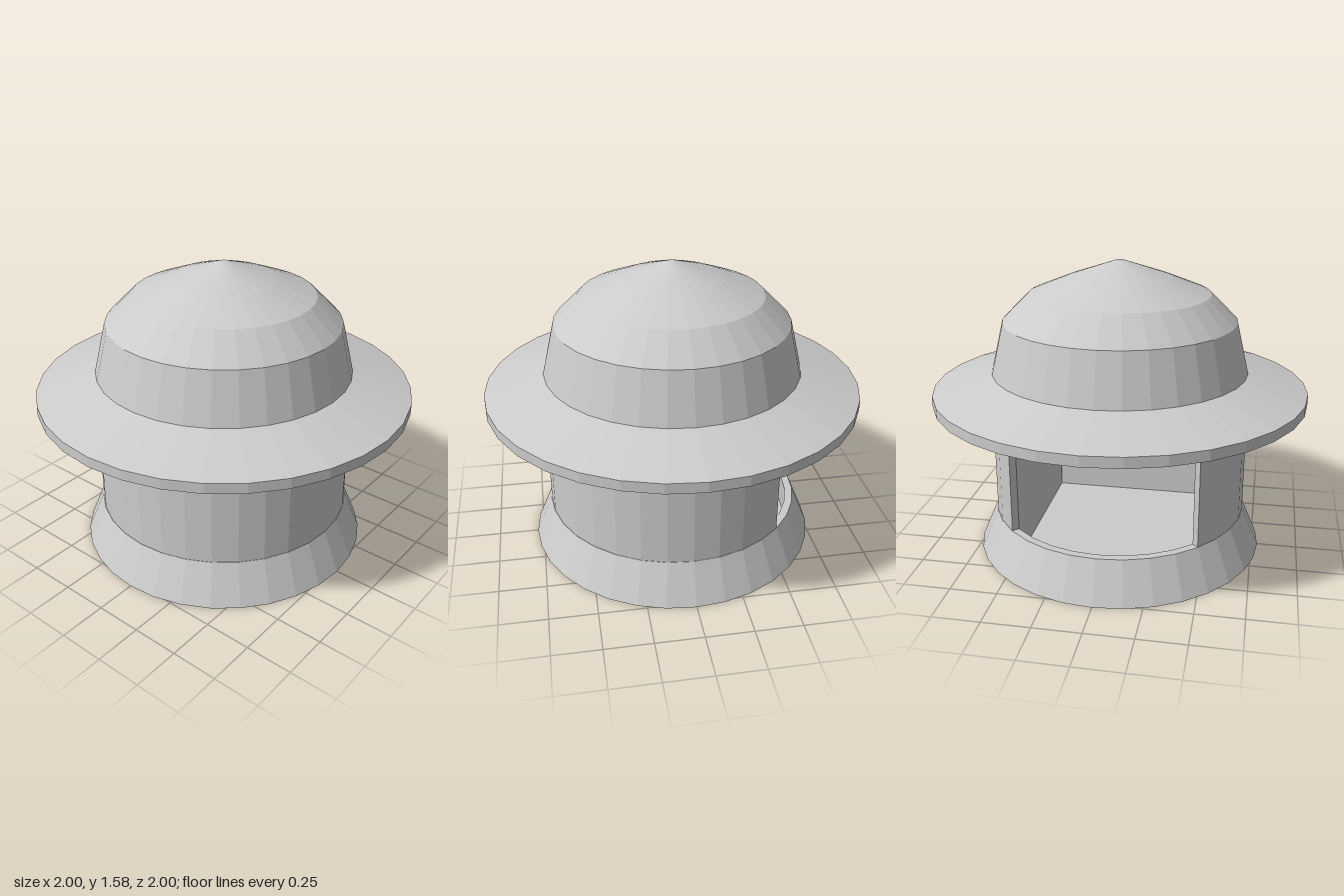
import * as THREE from 'three';

const SIDES = 32;
const material = new THREE.MeshStandardMaterial({ color: 0xcccccc, flatShading: true });

function addPart(group, name, geometry) {
  const mesh = new THREE.Mesh(geometry, material);
  mesh.name = name;
  group.add(mesh);
  return mesh;
}

// Faceted solid of revolution from [radius, height] pairs
function turned(profile) {
  return new THREE.LatheGeometry(profile.map(([r, y]) => new THREE.Vector2(r, y)), SIDES);
}

// Round outside with a quarter opening on -x, and a square chamber inside
function bodyGeometry(bottom, top) {
  const outer = 0.69, half = 0.46;
  const points = [];
  for (let i = -12; i <= 12; i++) {
    const a = (i / SIDES) * Math.PI * 2;
    points.push(new THREE.Vector2(outer * Math.cos(a), outer * Math.sin(a)));
  }
  for (const [x, y] of [[-1, 1], [1, 1], [1, -1], [-1, -1]]) {
    points.push(new THREE.Vector2(x * half, y * half));
  }
  const geometry = new THREE.ExtrudeGeometry(new THREE.Shape(points), {
    depth: top - bottom, bevelEnabled: false,
  });
  return geometry.rotateX(-Math.PI / 2).translate(0, bottom, 0);
}

export function createModel() {
  const model = new THREE.Group();
  model.name = 'domedHousing';

  // Flared foot with a sunken floor behind a thin lip
  addPart(model, 'flaredBase', turned([
    [0, 0], [0.785, 0], [0.692, 0.22], [0.65, 0.22], [0.65, 0.06], [0, 0.06],
  ]));

  // Upright wall with the side opening
  addPart(model, 'body', bodyGeometry(0.06, 0.97));

  // Domed cap with a wide brim, recessed underneath to sit over the wall
  addPart(model, 'brimmedCap', turned([
    [0, 0.96], [0.74, 0.96], [0.74, 0.85], [1, 0.85], [1, 0.905],
    [0.685, 1.0], [0.62, 1.27], [0.48, 1.41], [0.27, 1.495], [0.02, 1.58], [0, 1.58],
  ]));

  return model;
}
